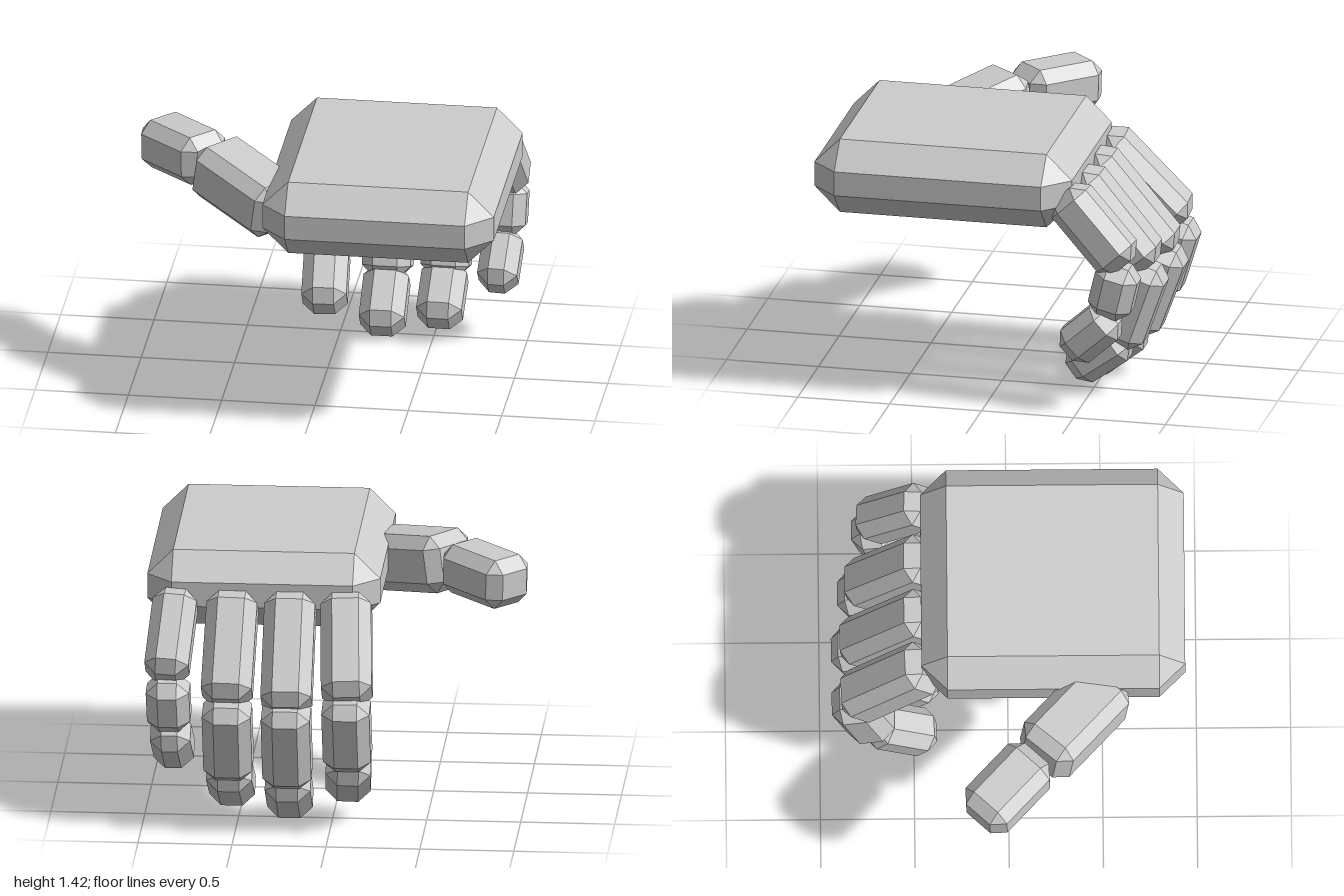
import * as THREE from 'three';
import { ConvexGeometry } from 'three/addons/geometries/ConvexGeometry.js';

// Box with every edge bevelled: each corner becomes three points
function bevelledBox(w, h, d, b) {
  const pts = [];
  for (const sx of [-0.5, 0.5]) for (const sy of [-0.5, 0.5]) for (const sz of [-0.5, 0.5]) {
    const x = sx * w, y = sy * h, z = sz * d;
    const ix = x - Math.sign(x) * b, iy = y - Math.sign(y) * b, iz = z - Math.sign(z) * b;
    pts.push(new THREE.Vector3(x, iy, iz), new THREE.Vector3(ix, y, iz), new THREE.Vector3(ix, iy, z));
  }
  return new ConvexGeometry(pts);
}

export function createModel() {
  const model = new THREE.Group();
  model.name = 'hand';
  const grey = new THREE.MeshStandardMaterial({ color: 0xcccccc, flatShading: true });
  grey.name = 'light grey';

  // Bevelled bone running from a to b, its width turned towards sideHint
  function bone(name, a, b, w, h, sideHint) {
    const from = new THREE.Vector3(...a), to = new THREE.Vector3(...b);
    const dir = to.clone().sub(from);
    const length = dir.length();
    dir.normalize();
    const side = sideHint.clone().addScaledVector(dir, -dir.dot(sideHint)).normalize();
    const up = dir.clone().cross(side);
    const mesh = new THREE.Mesh(bevelledBox(w, h, length, 0.064), grey);
    mesh.quaternion.setFromRotationMatrix(new THREE.Matrix4().makeBasis(side, up, dir));
    mesh.position.copy(from).add(to).multiplyScalar(0.5);
    mesh.name = name;
    return mesh;
  }

  // Palm
  const palm = new THREE.Mesh(bevelledBox(1.24, 0.41, 1.4, 0.138), grey);
  palm.position.set(0.38, 1.225, 0.24);
  palm.name = 'palm';
  model.add(palm);

  // Fingers: start and end of each bone, then width and thickness of each bone
  const fingers = {
    index: {
      bones: [[[-0.065, 1.21, -0.41], [-0.1, 0.763, -0.838]],
        [[-0.093, 0.788, -0.833], [-0.096, 0.374, -0.707]],
        [[-0.1, 0.399, -0.727], [-0.077, 0.167, -0.409]]],
      sizes: [[0.27, 0.26], [0.255, 0.255], [0.24, 0.23]],
    },
    middle: {
      bones: [[[0.23, 1.21, -0.41], [0.225, 0.702, -0.833]],
        [[0.226, 0.747, -0.838], [0.227, 0.263, -0.662]],
        [[0.228, 0.293, -0.697], [0.23, 0.061, -0.399]]],
      sizes: [[0.27, 0.26], [0.26, 0.26], [0.243, 0.23]],
    },
    ring: {
      bones: [[[0.536, 1.21, -0.41], [0.546, 0.732, -0.803]],
        [[0.543, 0.747, -0.803], [0.542, 0.293, -0.646]],
        [[0.542, 0.338, -0.687], [0.536, 0.126, -0.394]]],
      sizes: [[0.27, 0.26], [0.26, 0.255], [0.243, 0.23]],
    },
    little: {
      bones: [[[0.837, 1.217, -0.41], [0.872, 0.843, -0.75]],
        [[0.863, 0.843, -0.727], [0.856, 0.55, -0.657]],
        [[0.856, 0.556, -0.687], [0.842, 0.328, -0.434]]],
      sizes: [[0.235, 0.25], [0.23, 0.235], [0.214, 0.23]],
    },
  };
  const boneNames = ['lower bone', 'middle bone', 'tip'];
  const across = new THREE.Vector3(1, 0, 0);
  for (const [name, { bones, sizes }] of Object.entries(fingers)) {
    const finger = new THREE.Group();
    finger.name = `${name} finger`;
    bones.forEach(([a, b], i) => finger.add(bone(boneNames[i], a, b, ...sizes[i], across)));
    model.add(finger);
  }

  // Thumb, reaching out to the side
  const thumb = new THREE.Group();
  thumb.name = 'thumb';
  const thumbSide = new THREE.Vector3(0.66, 0, -0.75);
  thumb.add(
    bone('lower bone', [-0.158, 1.135, 0.54], [-0.607, 1.243, 0.16], 0.34, 0.31, thumbSide),
    bone('tip', [-0.607, 1.24, 0.15], [-0.944, 1.225, -0.166], 0.3, 0.27, thumbSide),
  );
  model.add(thumb);

  return model;
}
